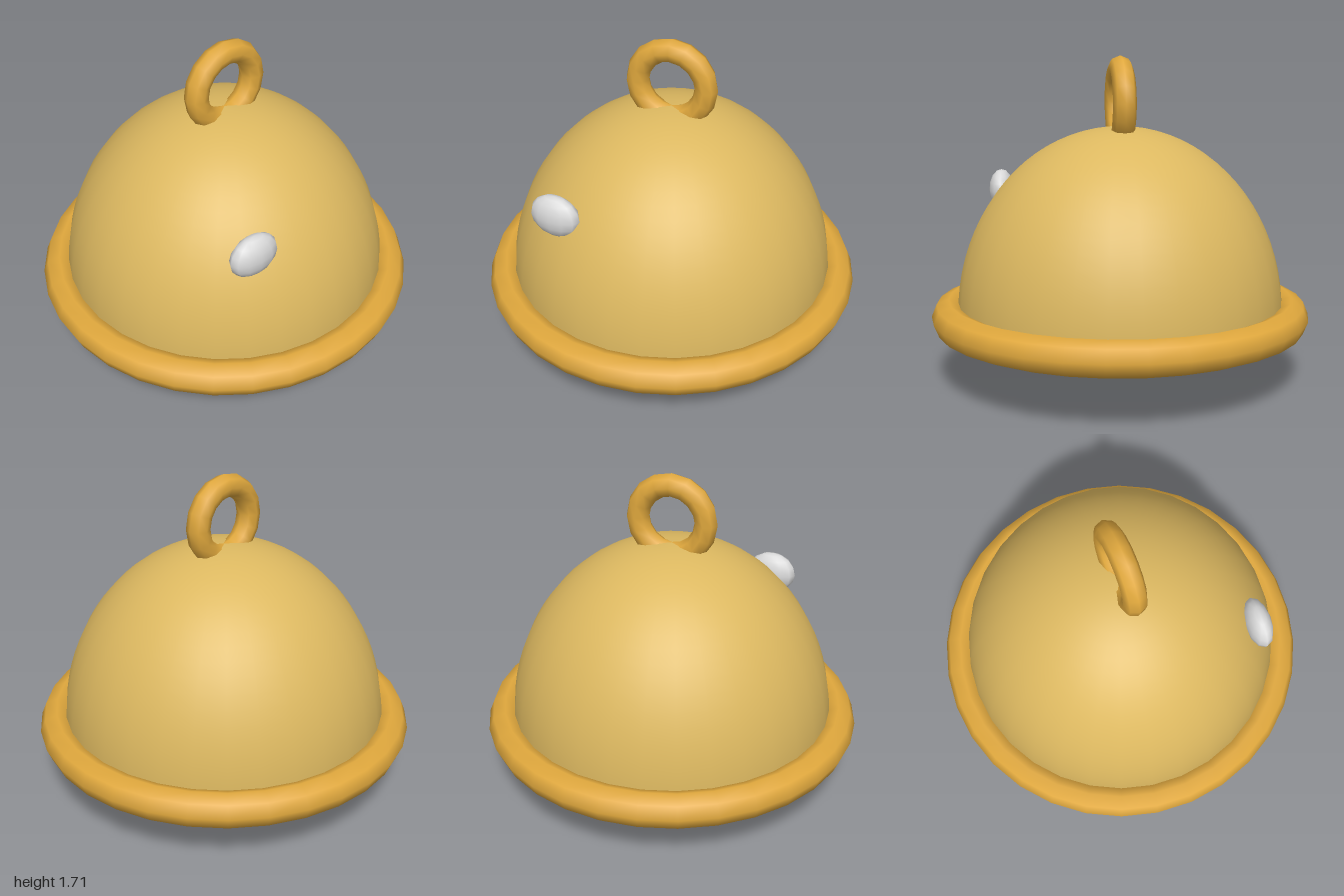
import * as THREE from 'three';

const material = (name, color) => {
  const m = new THREE.MeshStandardMaterial({ color });
  m.name = name;
  return m;
};

export function createModel() {
  const paleGold = material('pale gold', 0xdcb860);
  const deepGold = material('deep gold', 0xe0a83d);
  const silver = material('silver', 0xdadada);

  const model = new THREE.Group();
  model.name = 'bell';
  const add = (name, geometry, mat, x, y, z) => {
    const mesh = new THREE.Mesh(geometry, mat);
    mesh.name = name;
    mesh.position.set(x, y, z);
    model.add(mesh);
    return mesh;
  };

  // Domed body: a tall half ellipse with a short straight skirt
  const radius = 0.862, height = 0.99, skirt = 0.058, steps = 20;
  const profile = [new THREE.Vector2(radius, -skirt)];
  for (let i = 0; i <= steps; i++) {
    const a = (i / steps) * Math.PI / 2;
    profile.push(new THREE.Vector2(i === steps ? 0 : radius * Math.cos(a), height * Math.sin(a)));
  }
  add('dome', new THREE.LatheGeometry(profile, 32), paleGold, 0, 0.355, 0);

  // Flat underside
  add('underside', new THREE.CircleGeometry(radius, 32), paleGold, 0, 0.355 - skirt, 0)
    .rotation.x = Math.PI / 2;

  // Thick ring round the mouth
  add('rim', new THREE.TorusGeometry(0.909, 0.091, 8, 32), deepGold, 0, 0.354, 0)
    .rotation.x = Math.PI / 2;

  // Hanging loop on the crown
  add('loop', new THREE.TorusGeometry(0.183, 0.061, 8, 16), deepGold, 0, 1.468, 0);

  // Ball below the mouth
  add('clapper', new THREE.SphereGeometry(0.183, 16, 12), deepGold, 0, 0.186, 0);

  // Small flattened stud on the front
  const stud = add('stud', new THREE.SphereGeometry(1, 12, 8), silver, -0.37, 0.975, 0.617);
  stud.scale.set(0.136, 0.113, 0.068);
  stud.rotation.y = -0.08;

  return model;
}
